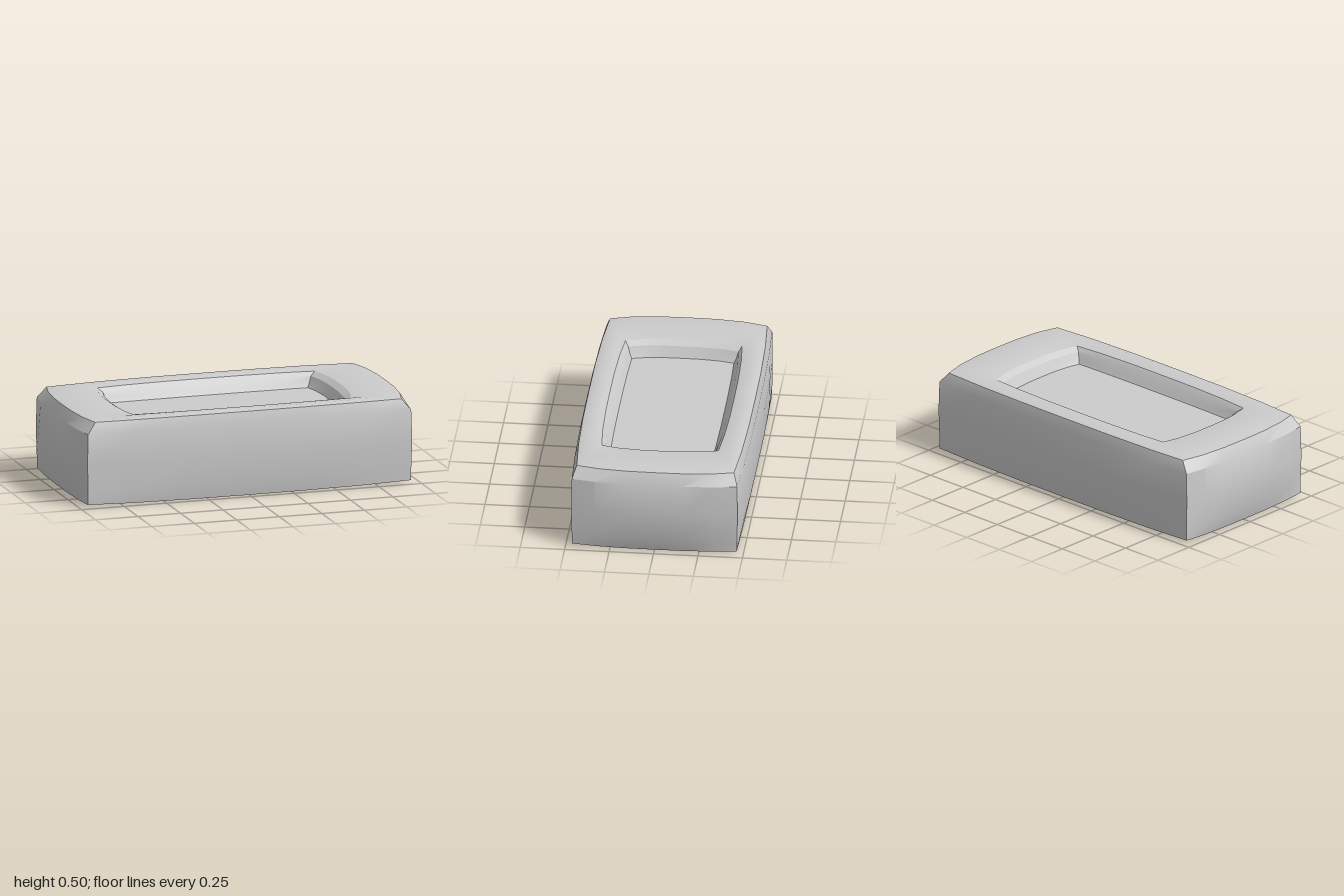
import * as THREE from 'three';
import { toCreasedNormals } from 'three/addons/utils/BufferGeometryUtils.js';

const STEPS = [-1, -0.72, -0.36, 0, 0.36, 0.72];

// Closed rectangular outline with gently bulging sides, counter-clockwise from above.
// mx, mz: reach at the middle of the sides; cx, cz: corner; my, cy: height at middle and corner.
function ring([mx, mz, cx, cz, my, cy]) {
  const points = [];
  const side = (place) => STEPS.forEach((t) => {
    const k = Math.abs(t) ** 3;
    points.push(place(t, k, my + (cy - my) * k));
  });
  const z = (k) => mz + (cz - mz) * k;
  const x = (k) => mx + (cx - mx) * k;
  side((t, k, y) => [t * cx, y, z(k)]);
  side((t, k, y) => [x(k), y, -t * cz]);
  side((t, k, y) => [-t * cx, y, -z(k)]);
  side((t, k, y) => [-x(k), y, t * cz]);
  return points;
}

// Skin between successive rings, closed by a fan at both ends.
function loft(profiles, startY, endY) {
  const rings = profiles.map(ring);
  const n = rings[0].length;
  const position = [[0, startY, 0], ...rings.flat(), [0, endY, 0]].flat();
  const last = rings.length * n + 1;
  const index = [];
  for (let i = 0; i < n; i++) {
    const j = (i + 1) % n;
    index.push(0, 1 + j, 1 + i);
    for (let r = 0; r < rings.length - 1; r++) {
      const a = 1 + r * n + i, b = 1 + r * n + j;
      index.push(a, b, b + n, a, b + n, a + n);
    }
    index.push(last, last - n + i, last - n + j);
  }
  const geometry = new THREE.BufferGeometry();
  geometry.setAttribute('position', new THREE.Float32BufferAttribute(position, 3));
  geometry.setIndex(index);
  return toCreasedNormals(geometry, 0.42);
}

export function createModel() {
  const group = new THREE.Group();
  group.name = 'recessedBlock';

  const profiles = [
    // outer walls, bottom to top
    [0.955, 0.468, 0.95, 0.463, 0.003, 0.015],
    [0.982, 0.484, 0.95, 0.465, 0.08, 0.08],
    [1.0, 0.488, 0.955, 0.467, 0.25, 0.25],
    [0.982, 0.484, 0.95, 0.465, 0.42, 0.42],
    // bevel and rim
    [0.95, 0.468, 0.9, 0.442, 0.485, 0.482],
    [0.88, 0.435, 0.83, 0.415, 0.495, 0.491],
    [0.75, 0.385, 0.71, 0.365, 0.493, 0.49],
    // rolled edge down to the recess floor
    [0.68, 0.35, 0.64, 0.328, 0.484, 0.482],
    [0.645, 0.33, 0.612, 0.31, 0.46, 0.46],
    [0.625, 0.308, 0.597, 0.298, 0.42, 0.42],
    [0.615, 0.295, 0.585, 0.287, 0.4, 0.4],
  ];

  const body = new THREE.Mesh(
    loft(profiles, 0, 0.4),
    new THREE.MeshStandardMaterial({ color: 0xcccccc })
  );
  body.name = 'blockBody';
  group.add(body);
  return group;
}
